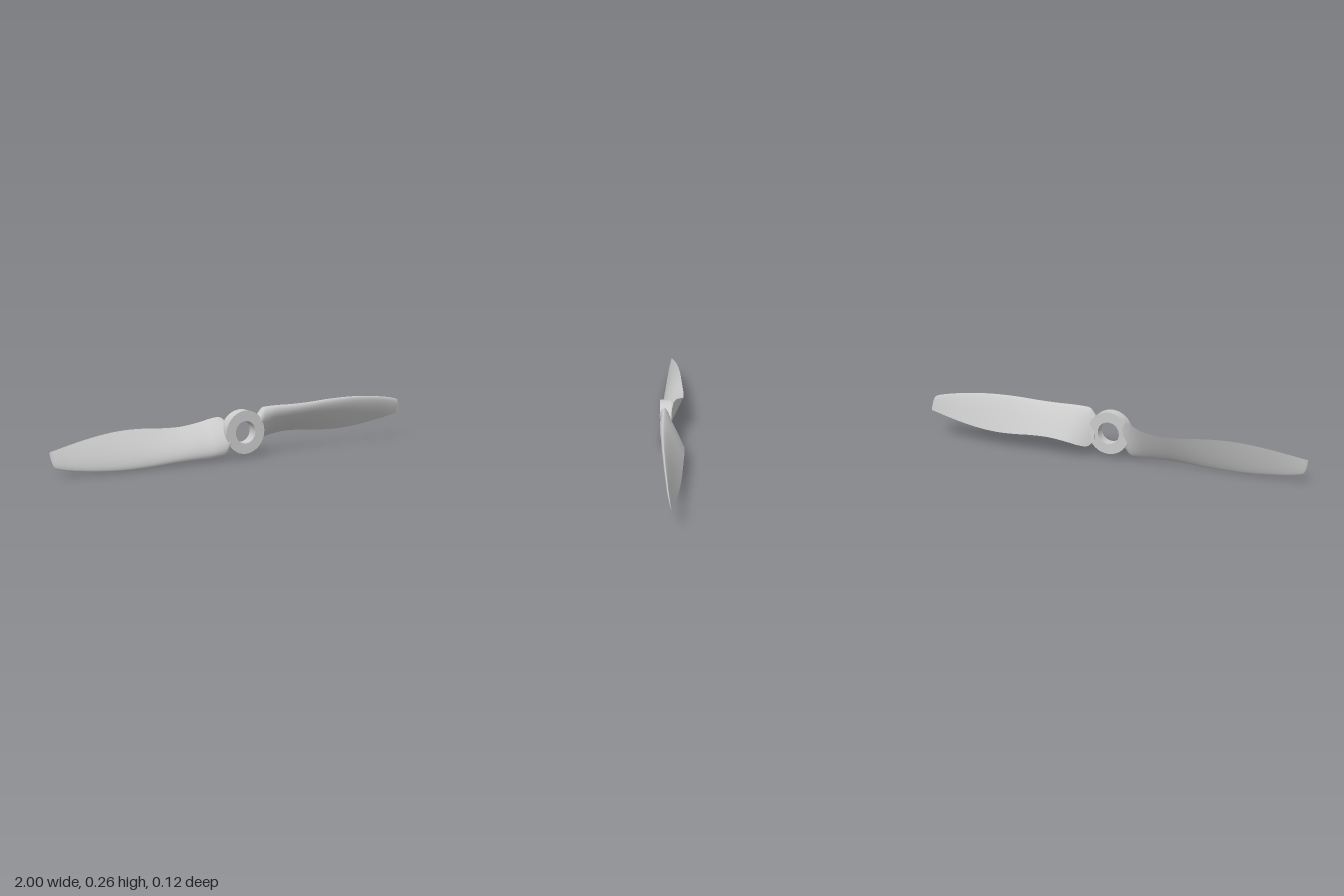
import * as THREE from 'three';

const HUB_Y = 0.13;
const material = new THREE.MeshStandardMaterial({ color: 0xcccccc });

// Blade stations: x, leading edge y and z, trailing edge y and z, thickness
const STATIONS = [
  [0.075, 0.2, 0.03, 0.085, -0.005, 0.05],
  [0.09, 0.222, 0.031, 0.066, -0.012, 0.055],
  [0.11, 0.243, 0.033, 0.056, -0.026, 0.058],
  [0.15, 0.247, 0.036, 0.065, -0.048, 0.055],
  [0.2, 0.248, 0.038, 0.08, -0.062, 0.05],
  [0.3, 0.247, 0.04, 0.093, -0.063, 0.045],
  [0.4, 0.25, 0.039, 0.091, -0.058, 0.04],
  [0.5, 0.256, 0.037, 0.083, -0.052, 0.036],
  [0.6, 0.258, 0.035, 0.08, -0.045, 0.031],
  [0.7, 0.256, 0.03, 0.086, -0.036, 0.026],
  [0.8, 0.248, 0.025, 0.1, -0.026, 0.021],
  [0.9, 0.235, 0.018, 0.119, -0.015, 0.016],
  [0.965, 0.221, 0.013, 0.133, -0.007, 0.012],
  [0.985, 0.208, 0.01, 0.137, -0.005, 0.009],
  [0.995, 0.18, 0.006, 0.139, -0.003, 0.005],
  [1.0, 0.148, 0.0, 0.141, -0.002, 0.002],
];

function createBladeGeometry() {
  const curve = (pick) => new THREE.CatmullRomCurve3(STATIONS.map((s) => new THREE.Vector3(...pick(s))), false, 'catmullrom', 0.5);
  const leading = curve((s) => [s[0], s[1] - HUB_Y, s[2]]);
  const trailing = curve((s) => [s[0], s[3] - HUB_Y, s[4]]);
  const thickness = curve((s) => [s[0], s[5], 0]);

  const rows = (STATIONS.length - 1) * 5, around = 36, stride = around + 1;
  const positions = [], index = [];
  // Each section runs from the trailing edge over the front to the nose and back
  for (let i = 0; i <= rows; i++) {
    const le = leading.getPoint(i / rows), te = trailing.getPoint(i / rows);
    const t = thickness.getPoint(i / rows).y;
    const dy = te.y - le.y, dz = te.z - le.z, chord = Math.hypot(dy, dz);
    for (let j = 0; j <= around; j++) {
      const a = (j / around) * Math.PI * 2;
      const s = (1 + Math.cos(a)) / 2;
      // Airfoil half thickness, fuller on the front than on the back
      const half = 2.6 * Math.sqrt(s) * (1 - s) * (1 - 0.15 * s) * t;
      const offset = j <= around / 2 ? half * 0.72 : -half * 0.22;
      positions.push(le.x, le.y + dy * s + (dz / chord) * offset, le.z + dz * s - (dy / chord) * offset);
    }
  }
  for (let i = 0; i < rows; i++) {
    for (let j = 0; j < around; j++) {
      const a = i * stride + j, b = a + 1, c = a + stride, d = c + 1;
      index.push(a, c, b, b, c, d);
    }
  }
  // Flat caps at root and tip
  for (const row of [0, rows]) {
    const base = positions.length / 3;
    const ring = positions.slice(row * stride * 3, (row + 1) * stride * 3);
    positions.push(...ring);
    for (let j = 0; j < around / 2; j++) {
      const a = base + j, b = a + 1, c = base + around - j, d = c - 1;
      if (row === 0) index.push(a, b, c, b, d, c);
      else index.push(a, c, b, b, c, d);
    }
  }
  const geometry = new THREE.BufferGeometry();
  geometry.setAttribute('position', new THREE.Float32BufferAttribute(positions, 3));
  geometry.setIndex(index);
  geometry.computeVertexNormals();
  return geometry;
}

export function createModel() {
  const model = new THREE.Group();
  model.name = 'propeller';

  // Hub ring with the shaft bore
  const ring = new THREE.Shape().absarc(0, 0, 0.108, 0, Math.PI * 2);
  ring.holes.push(new THREE.Path().absarc(0, 0, 0.056, 0, Math.PI * 2, true));
  const hub = new THREE.Mesh(
    new THREE.ExtrudeGeometry(ring, { depth: 0.055, bevelEnabled: false, curveSegments: 36 }), material);
  hub.name = 'hub';
  hub.position.y = HUB_Y;
  model.add(hub);

  // Two twisted blades, half a turn apart
  const bladeGeometry = createBladeGeometry();
  ['leftBlade', 'rightBlade'].forEach((name, k) => {
    const blade = new THREE.Mesh(bladeGeometry, material);
    blade.name = name;
    blade.position.y = HUB_Y;
    blade.rotation.z = k * Math.PI;
    model.add(blade);
  });
  return model;
}
